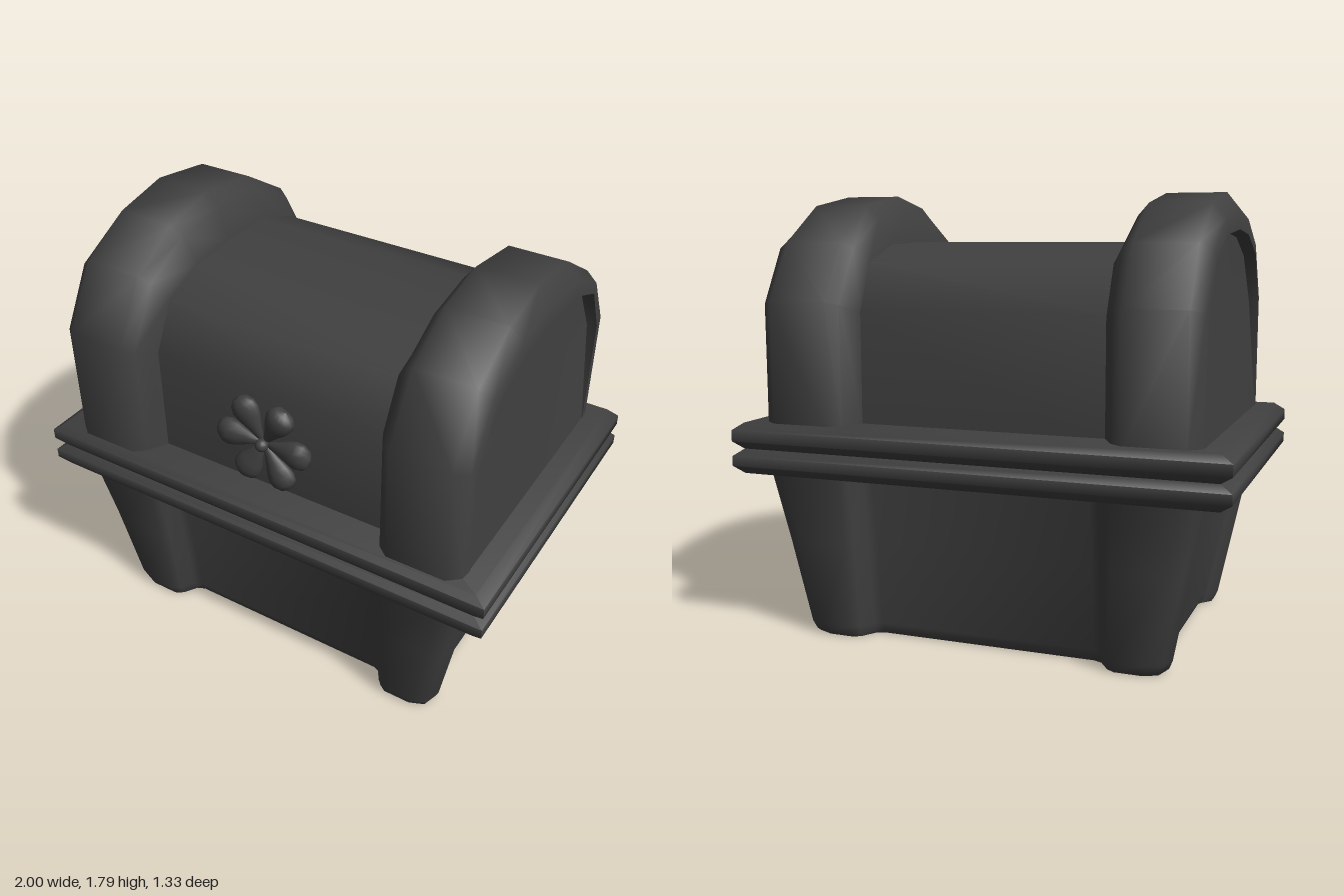
import * as THREE from 'three';
import { toCreasedNormals } from 'three/addons/utils/BufferGeometryUtils.js';

const material = new THREE.MeshStandardMaterial({ color: 0x404040 });

// Skin a list of rings (equal point counts, counter-clockwise around the direction of travel).
function loft(rings, capStart = true, capEnd = true, crease = 1.2) {
  const n = rings[0].length, pos = rings.flat(2), idx = [];
  for (let r = 0; r < rings.length - 1; r++) {
    for (let i = 0; i < n; i++) {
      const j = (i + 1) % n, a = r * n, b = a + n;
      idx.push(a + i, a + j, b + j, a + i, b + j, b + i);
    }
  }
  const cap = (r, flip) => {
    const c = pos.length / 3;
    for (let k = 0; k < 3; k++) pos.push(rings[r].reduce((s, p) => s + p[k], 0) / n);
    for (let i = 0; i < n; i++) {
      const a = r * n + i, b = r * n + (i + 1) % n;
      idx.push(...(flip ? [b, a, c] : [a, b, c]));
    }
  };
  if (capStart) cap(0, true);
  if (capEnd) cap(rings.length - 1, false);
  const g = new THREE.BufferGeometry();
  g.setAttribute('position', new THREE.Float32BufferAttribute(pos, 3));
  g.setIndex(idx);
  return toCreasedNormals(g, crease);
}

// Arch outlines as z, y: the outside of the bands and the lid between them.
const OUTER = [[-0.625, 0.85], [-0.625, 1.37], [-0.48, 1.6], [-0.25, 1.745],
  [0.03, 1.79], [0.27, 1.745], [0.49, 1.62], [0.64, 1.37], [0.64, 0.85]];
const INNER = [[-0.5, 0.85], [-0.5, 1.33], [-0.41, 1.52], [-0.22, 1.585],
  [0.03, 1.597], [0.23, 1.585], [0.42, 1.52], [0.52, 1.33], [0.52, 0.85]];
// Blend from the outer (t = 0) to the inner (t = 1) arch at a given x.
const arch = (x, t) => OUTER.map(([z, y], i) =>
  [x, y + (INNER[i][1] - y) * t, z + (INNER[i][0] - z) * t]);

// Base outline: rounded corner legs, with all four sides set back between them.
function baseRing(y, X, Z, inset = 0) {
  const x = X - inset, z = Z - inset, s = 0.55 - inset, d = 0.05;
  const q = [[x - d, z - 0.16], [x - d * 0.75, z - 0.135], [x, z - 0.09],
    [x - 0.02, z - 0.025], [x - 0.08, z],
    [s, z], [s - 0.03, z - 0.02], [s - 0.065, z - 0.075], [s - 0.1, z - 0.09]];
  const mx = ([a, b]) => [-a, b], mz = ([a, b]) => [a, -b];
  const half = [...q, ...q.map(mx).reverse()];
  return [...half, ...half.map(mz).reverse()].map(([a, b]) => [a, y, b]);
}

// Rectangle outline, counter-clockwise from above.
const rect = (y, X, Z) => [[X, y, Z], [X, y, -Z], [-X, y, -Z], [-X, y, Z]];

export function createModel() {
  const group = new THREE.Group();
  const add = (name, geometry, parent = group) => {
    const mesh = new THREE.Mesh(geometry, material);
    mesh.name = name;
    parent.add(mesh);
    return mesh;
  };

  // Tapered base with corner legs, hollow from below
  add('base', loft([
    baseRing(0.72, 0.892, 0.622), baseRing(0.4, 0.83, 0.578),
    baseRing(0.05, 0.76, 0.545), baseRing(0.015, 0.745, 0.535),
    baseRing(0.003, 0.735, 0.525), baseRing(0.015, 0.745, 0.535, 0.02),
    baseRing(0.42, 0.77, 0.56, 0.025),
  ], false, true));

  // Two bevelled rims where the base meets the lid
  const rim = (name, y0, y1) => {
    const b = 0.03;
    add(name, loft([rect(y0, 0.955, 0.645), rect(y0 + b, 1, 0.667),
      rect(y1 - b, 1, 0.667), rect(y1, 0.955, 0.645)]));
  };
  rim('lowerRim', 0.68, 0.78);
  rim('upperRim', 0.78, 0.885);

  // Barrel lid between the bands
  add('lid', loft([arch(-0.51, 1), arch(0.51, 1)], false, false));

  // Thick arched bands; the end panel sinks in towards its top
  const sunken = arch(0.885, 0.8).map(([x, y, z]) =>
    [x - 0.05 * THREE.MathUtils.clamp((y - 0.95) / 0.5, 0, 1), y, z]);
  const bandGeometry = loft([
    arch(0.5, 1), arch(0.545, 0.3), arch(0.59, 0), arch(0.83, 0),
    arch(0.88, 0.35), arch(0.885, 0.74), sunken,
  ], true, true, 1);
  add('leftBand', bandGeometry);
  add('rightBand', bandGeometry).scale.x = -1;

  // Flower ornament on the front
  const flower = new THREE.Group();
  flower.name = 'flower';
  flower.position.set(-0.005, 1.095, 0.535);
  group.add(flower);
  const petalProfile = [[0, 0.01], [0.016, 0.03], [0.03, 0.07], [0.05, 0.115],
    [0.06, 0.15], [0.055, 0.18], [0.035, 0.202], [0, 0.21]];
  const petal = new THREE.LatheGeometry(
    petalProfile.map(([r, y]) => new THREE.Vector2(r, y)), 14);
  for (let i = 0; i < 6; i++) {
    const mesh = add('petal', petal, flower);
    mesh.scale.z = 0.7;
    mesh.rotation.z = Math.PI / 6 + i * Math.PI / 3;
  }
  add('flowerCentre', new THREE.SphereGeometry(0.027, 14, 10), flower).position.z = 0.015;

  return group;
}
